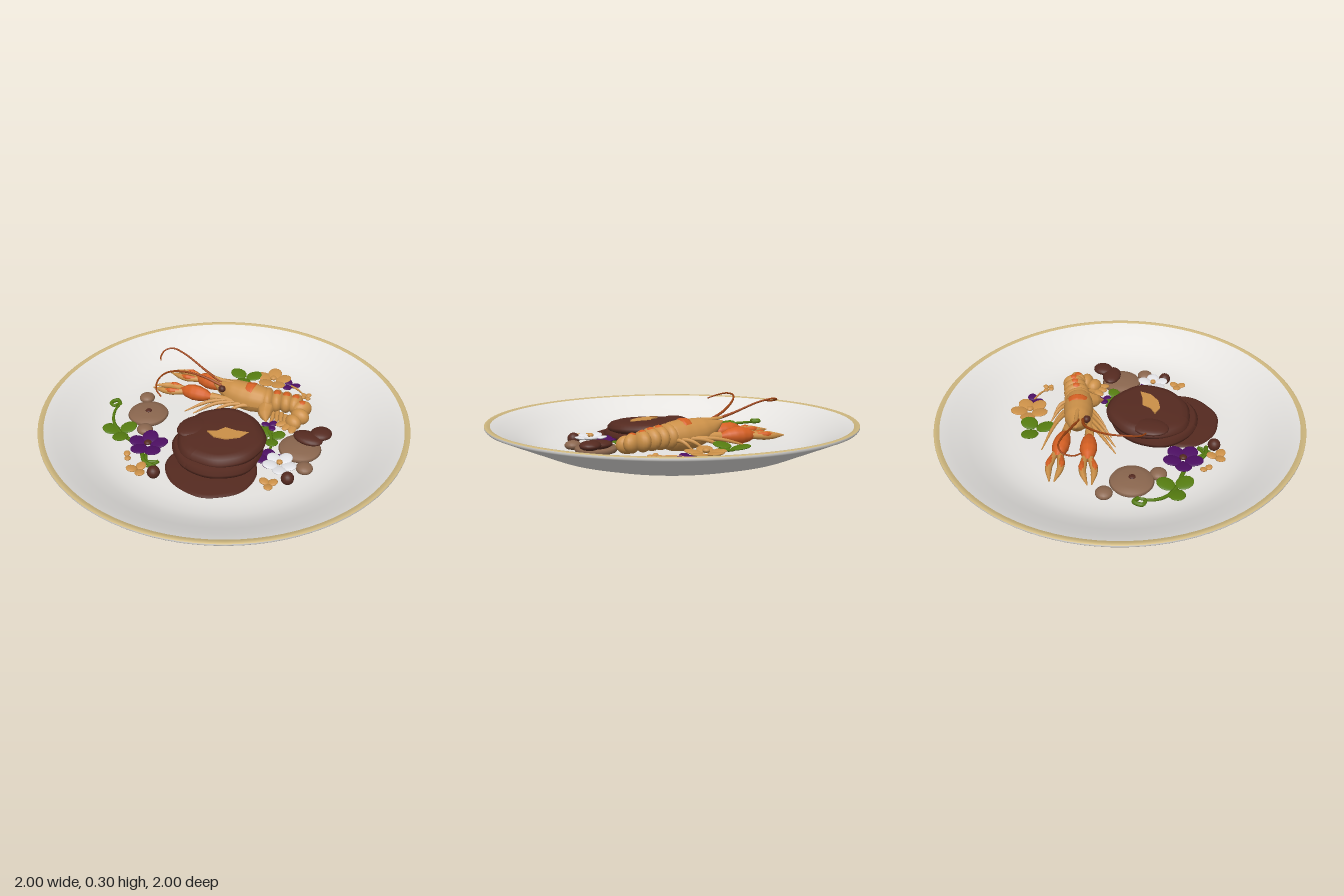
import * as THREE from 'three';

const mat = (name, color) => {
  const m = new THREE.MeshStandardMaterial({ color, side: THREE.DoubleSide });
  m.name = name;
  return m;
};

export function createModel() {
  const M = {
    porcelain: mat('porcelain', 0xe6e4e1), gold: mat('gold rim', 0xcdb67e),
    brown: mat('dark brown', 0x552a20), mushroom: mat('mushroom tan', 0x8a664e),
    shell: mat('shell tan', 0xcb9048), orange: mat('shell orange', 0xd45f22),
    feeler: mat('feeler rust', 0x9c4312), purple: mat('petal purple', 0x4c0e62),
    green: mat('leaf green', 0x557c10), white: mat('petal white', 0xe4e4e8),
  };
  const model = new THREE.Group();
  model.name = 'platedDish';
  const FLOOR = 0.035;
  const V = (p) => new THREE.Vector3(p[0], p[1], p[2]);

  const group = (name, parent = model) => {
    const g = new THREE.Group();
    g.name = name;
    parent.add(g);
    return g;
  };
  const add = (parent, name, geo, material, pos = [0, 0, 0]) => {
    const m = new THREE.Mesh(geo, material);
    m.name = name;
    m.position.set(...pos);
    parent.add(m);
    return m;
  };
  // ellipsoid, turned about y
  const blob = (parent, name, material, pos, size, yaw = 0, seg = 18) => {
    const m = add(parent, name, new THREE.SphereGeometry(1, seg, 12), material, pos);
    m.scale.set(...size);
    m.rotation.y = yaw;
    return m;
  };
  // tube along points, with the radii spread evenly along its length
  const taper = (parent, name, material, pts, radii, n = 24, sides = 8) => {
    const curve = new THREE.CatmullRomCurve3(pts.map(V));
    const geo = new THREE.TubeGeometry(curve, n, 1, sides);
    const pos = geo.attributes.position, v = new THREE.Vector3();
    for (let i = 0; i <= n; i++) {
      const c = curve.getPointAt(i / n), f = (i / n) * (radii.length - 1);
      const k = Math.min(Math.floor(f), radii.length - 2);
      const r = THREE.MathUtils.lerp(radii[k], radii[k + 1], f - k);
      for (let j = 0; j <= sides; j++) {
        const q = i * (sides + 1) + j;
        v.fromBufferAttribute(pos, q).sub(c).multiplyScalar(r).add(c);
        pos.setXYZ(q, v.x, v.y, v.z);
      }
    }
    geo.computeVertexNormals();
    return add(parent, name, geo, material);
  };
  const lathe = (pts, seg = 96) => new THREE.LatheGeometry(pts.map((p) => new THREE.Vector2(p[0], p[1])), seg);
  // turned shape whose outline wobbles around the axis
  const wobbly = (pts, amp, phase) => {
    const geo = lathe(pts, 64), pos = geo.attributes.position;
    for (let i = 0; i < pos.count; i++) {
      const x = pos.getX(i), z = pos.getZ(i), a = Math.atan2(z, x);
      const k = 1 + amp * (Math.sin(3 * a + phase) + 0.6 * Math.sin(5 * a + 2 * phase) + 0.4 * Math.sin(8 * a));
      pos.setX(i, x * k);
      pos.setZ(i, z * k);
    }
    geo.computeVertexNormals();
    return geo;
  };

  // plate
  const plate = group('plate');
  add(plate, 'plateUnderside', lathe([[0, 0], [0.57, 0], [0.58, 0.003], [0.7, 0.037], [0.71, 0.041], [0.995, 0.168], [1, 0.175], [1, 0.183]]), M.porcelain);
  add(plate, 'goldRim', lathe([[1, 0.183], [0.995, 0.187], [0.985, 0.187], [0.971, 0.181]]), M.gold);
  add(plate, 'plateInside', lathe([[0.971, 0.181], [0.92, 0.16], [0.84, 0.116], [0.76, 0.075], [0.69, 0.05], [0.62, 0.039], [0.55, FLOOR], [0, FLOOR]]), M.porcelain);

  // meat on its pool of sauce
  const main = group('meat');
  add(main, 'sauce', wobbly([[0.235, 0], [0.24, 0.008], [0.225, 0.017], [0, 0.02]], 0.02, 1.2), M.brown, [0.185, FLOOR, 0.275]);
  add(main, 'meatLower', wobbly([[0.2, 0], [0.235, 0.02], [0.245, 0.045], [0.225, 0.065], [0, 0.07]], 0.014, 0.4), M.brown, [0.12, FLOOR, 0.165]);
  const upper = add(main, 'meatUpper', wobbly([[0.19, 0], [0.23, 0.015], [0.235, 0.035], [0.215, 0.056], [0.18, 0.066], [0, 0.068]], 0.02, 2.2), M.brown, [0.112, 0.088, 0.13]);
  upper.rotation.x = 0.06;
  blob(main, 'meatSlice', M.brown, [-0.045, 0.138, 0.19], [0.075, 0.022, 0.105], 0.1);
  const flake = new THREE.Shape([[-0.09, -0.06], [-0.05, -0.02], [-0.04, 0.03], [0.02, 0.05], [0.08, 0.085], [0.075, 0.02], [0.03, -0.04], [-0.03, -0.07]].map((p) => new THREE.Vector2(...p)));
  const flakeGeo = new THREE.ExtrudeGeometry(flake, { depth: 0.008, bevelEnabled: false }).rotateX(-Math.PI / 2);
  add(main, 'garnishFlake', flakeGeo, M.shell, [0.145, 0.153, 0.125]);

  // langoustine
  const prawn = group('langoustine');
  const head = group('head', prawn);
  taper(head, 'carapace', M.shell, [[-0.25, 0.185, -0.155], [-0.17, 0.155, -0.185], [-0.06, 0.135, -0.225], [0.03, 0.132, -0.262], [0.12, 0.13, -0.3]], [0.004, 0.042, 0.07, 0.08, 0.083, 0.074, 0.03], 28, 18);
  taper(head, 'carapaceSaddle', M.orange, [[-0.075, 0.15, -0.22], [-0.04, 0.152, -0.235], [0.03, 0.152, -0.262]], [0.02, 0.066, 0.07, 0.035], 12, 16);
  taper(head, 'rostrum', M.shell, [[-0.12, 0.2, -0.2], [-0.2, 0.2, -0.175], [-0.29, 0.217, -0.15]], [0.014, 0.011, 0.002]);
  for (const [x, z] of [[-0.165, -0.2], [-0.15, -0.135]]) blob(head, 'eye', M.brown, [x, 0.178, z], [0.022, 0.02, 0.02]);

  // curled tail made of overlapping rings
  const tail = group('tail', prawn);
  const spine = new THREE.CatmullRomCurve3([[0.07, 0.135, -0.285], [0.15, 0.135, -0.335], [0.215, 0.13, -0.372], [0.262, 0.12, -0.36], [0.282, 0.105, -0.315], [0.275, 0.09, -0.27]].map(V));
  for (let i = 0; i < 7; i++) {
    const t = i / 6, c = spine.getPointAt(t), d = spine.getTangentAt(t), r = 0.078 - 0.028 * t;
    const yaw = Math.atan2(-d.z, d.x);
    blob(tail, 'tailRing', M.shell, c.toArray(), [0.04, r * 0.86, r], yaw);
    if (i > 0 && i < 5) blob(tail, 'tailPatch', M.orange, [c.x, c.y + r * 0.45, c.z], [0.027, r * 0.45, r * 0.5], yaw);
  }
  [-0.5, 0, 0.5].forEach((a) => blob(tail, 'tailFan', M.shell, [0.27 + a * 0.06, 0.08, -0.235], [0.024, 0.012, 0.05], a));
  taper(tail, 'sideFlap', M.shell, [[0.08, 0.13, -0.28], [0.11, 0.11, -0.22], [0.165, 0.09, -0.165]], [0.035, 0.05, 0.036, 0.003]);
  for (let i = 0; i < 4; i++) taper(tail, 'swimmeret', M.shell, [[0.12 + i * 0.03, 0.1, -0.28], [0.15 + i * 0.03, 0.075, -0.24], [0.17 + i * 0.032, 0.06, -0.19 - i * 0.01]], [0.014, 0.013, 0.002]);

  // claws: arm, orange palm and two pincers
  const claw = (sh, a, b, tip) => {
    const g = group('claw', prawn);
    const dx = tip[0] - b[0], dz = tip[2] - b[2], len = Math.hypot(dx, dz), nx = -dz / len, nz = dx / len;
    taper(g, 'clawArm', M.shell, [sh, [(sh[0] + a[0]) / 2, 0.12, (sh[2] + a[2]) / 2], a], [0.022, 0.02, 0.026]);
    taper(g, 'clawPalm', M.orange, [a, [(a[0] + b[0]) / 2, 0.115, (a[2] + b[2]) / 2], b], [0.012, 0.035, 0.044, 0.046, 0.036, 0.012], 20, 12);
    for (const s of [-1, 1]) {
      const at = (t, w) => [b[0] + dx * t + nx * w * s, 0.108 - 0.01 * t, b[2] + dz * t + nz * w * s];
      taper(g, 'pincer', M.shell, [at(-0.15, 0.014), at(0.4, 0.03), at(1, 0.012)], [0.016, 0.021, 0.016, 0.003]);
      taper(g, 'pincerStripe', M.orange, [at(0, 0.022), at(0.3, 0.033), at(0.6, 0.03)].map((p) => [p[0], p[1] + 0.008, p[2]]), [0.01, 0.017, 0.004]);
    }
  };
  claw([-0.08, 0.12, -0.26], [-0.22, 0.115, -0.228], [-0.42, 0.11, -0.19], [-0.59, 0.1, -0.14]);
  claw([-0.08, 0.12, -0.15], [-0.2, 0.115, -0.1], [-0.39, 0.11, -0.03], [-0.545, 0.1, 0.045]);

  // walking legs
  for (const [x0, z0, x1, z1] of [[0.0, -0.29, -0.36, -0.31], [0.02, -0.29, -0.24, -0.33], [0.04, -0.3, -0.12, -0.37], [0.06, -0.31, -0.05, -0.385],
    [-0.09, -0.16, -0.25, 0.07], [-0.06, -0.16, -0.2, 0.05], [-0.02, -0.17, -0.13, 0.0], [0.02, -0.19, -0.06, -0.06]]) {
    taper(prawn, 'leg', M.shell, [[x0, 0.12, z0], [(x0 + x1) / 2, 0.12, (z0 + z1) / 2 - 0.01], [x1, 0.075, z1]], [0.014, 0.011, 0.009, 0.003]);
  }
  // antennae
  taper(prawn, 'antenna', M.feeler, [[-0.17, 0.185, -0.17], [-0.3, 0.225, -0.155], [-0.45, 0.28, -0.135], [-0.54, 0.295, -0.115], [-0.57, 0.285, -0.08], [-0.555, 0.27, -0.03], [-0.52, 0.27, 0.0]], [0.009, 0.006, 0.005, 0.004], 40);
  taper(prawn, 'antenna', M.feeler, [[-0.17, 0.185, -0.15], [-0.26, 0.225, -0.1], [-0.33, 0.265, -0.02], [-0.365, 0.292, 0.08], [-0.345, 0.293, 0.17], [-0.3, 0.275, 0.225], [-0.25, 0.257, 0.235]], [0.009, 0.006, 0.005, 0.004], 40);

  // mushrooms and berries
  const mushrooms = group('mushrooms');
  const cap = [[0.105, 0], [0.115, 0.014], [0.108, 0.026], [0.07, 0.037], [0, 0.04]];
  add(mushrooms, 'mushroomCap', lathe(cap, 40), M.mushroom, [-0.4, FLOOR + 0.005, 0.215]);
  blob(mushrooms, 'capCentre', M.brown, [-0.395, 0.08, 0.215], [0.018, 0.008, 0.018]);
  add(mushrooms, 'mushroomCap', lathe(cap, 40), M.mushroom, [0.425, FLOOR + 0.005, -0.15]);
  blob(mushrooms, 'darkMushroom', M.brown, [0.425, 0.09, -0.215], [0.085, 0.025, 0.055], 0.2);
  blob(mushrooms, 'darkMushroom', M.brown, [0.46, 0.1, -0.285], [0.055, 0.025, 0.06], -0.4);
  for (const [x, z] of [[-0.53, 0.115], [-0.3, 0.325], [0.545, -0.04]]) blob(mushrooms, 'button', M.mushroom, [x, 0.055, z], [0.045, 0.026, 0.045]);
  for (const [x, z] of [[0.54, 0.09], [0.02, 0.535]]) blob(mushrooms, 'berry', M.brown, [x, 0.065, z], [0.034, 0.034, 0.034]);

  // flowers and leaves: petals laid in a ring
  const rosette = (name, m, x, y, z, n, ring, size, phase, centre) => {
    const g = group(name);
    for (let i = 0; i < n; i++) {
      const a = phase + (i / n) * Math.PI * 2;
      const p = blob(g, 'petal', m, [x + ring * Math.cos(a), y + 0.004 * (i % 2), z + ring * Math.sin(a)], [size, 0.009, size * 0.88], -a, 16);
      p.rotation.order = 'YXZ';
      p.rotation.z = 0.16;
    }
    if (centre) blob(g, 'flowerCentre', centre, [x, y + 0.012, z], [size * 0.4, 0.012, size * 0.4]);
  };
  rosette('tanFlower', M.shell, -0.085, 0.095, -0.515, 5, 0.062, 0.048, 0.4, M.shell);
  rosette('purpleFlower', M.purple, -0.165, 0.075, 0.415, 5, 0.06, 0.05, 0.3, M.brown);
  rosette('whiteFlower', M.white, 0.447, 0.078, 0.045, 5, 0.05, 0.042, 0.9, M.shell);
  rosette('purpleBud', M.purple, 0.375, 0.065, 0.045, 4, 0.04, 0.042, 0.8);
  rosette('purpleBud', M.purple, 0.02, 0.085, -0.55, 3, 0.032, 0.03, 1.5);
  rosette('purpleBud', M.purple, 0.19, 0.07, -0.175, 3, 0.025, 0.025, 0.5);
  rosette('cloverLeaf', M.green, -0.225, 0.095, -0.415, 3, 0.058, 0.052, -1.0);
  rosette('cloverLeaf', M.green, -0.375, 0.065, 0.44, 3, 0.055, 0.05, -1.45);
  rosette('smallLeaf', M.green, 0.25, 0.065, -0.1, 4, 0.05, 0.04, 0.6);
  rosette('smallBlossom', M.shell, 0.165, 0.085, -0.52, 4, 0.02, 0.017, 0.3);
  rosette('tanPetals', M.shell, -0.06, 0.06, 0.575, 3, 0.03, 0.03, 0.3);
  rosette('tanPetals', M.shell, -0.18, 0.06, 0.545, 2, 0.018, 0.02, 0.6);
  rosette('tanPetals', M.shell, 0.495, 0.06, 0.185, 3, 0.025, 0.027, 0.9);

  // stems and curled tendrils
  const sprigs = group('sprigs');
  const stem = (m, r, ...pts) => taper(sprigs, 'stem', m, pts, [r, r, r * 0.6], 32);
  stem(M.green, 0.011, [-0.01, 0.06, 0.5], [-0.08, 0.06, 0.51], [-0.2, 0.05, 0.445], [-0.37, 0.055, 0.44], [-0.47, 0.07, 0.41], [-0.53, 0.085, 0.35], [-0.545, 0.095, 0.3]);
  stem(M.green, 0.011, [-0.545, 0.095, 0.3], [-0.58, 0.1, 0.29], [-0.585, 0.1, 0.335], [-0.55, 0.1, 0.34], [-0.55, 0.1, 0.31]);
  stem(M.green, 0.009, [-0.13, 0.055, 0.46], [-0.07, 0.06, 0.5], [-0.03, 0.06, 0.46], [-0.04, 0.06, 0.53]);
  stem(M.green, 0.009, [0.15, 0.06, -0.14], [0.22, 0.07, -0.13], [0.3, 0.065, -0.06], [0.34, 0.06, 0.02]);
  stem(M.shell, 0.006, [0.03, 0.085, -0.55], [0.09, 0.09, -0.54], [0.15, 0.085, -0.525]);
  return model;
}
